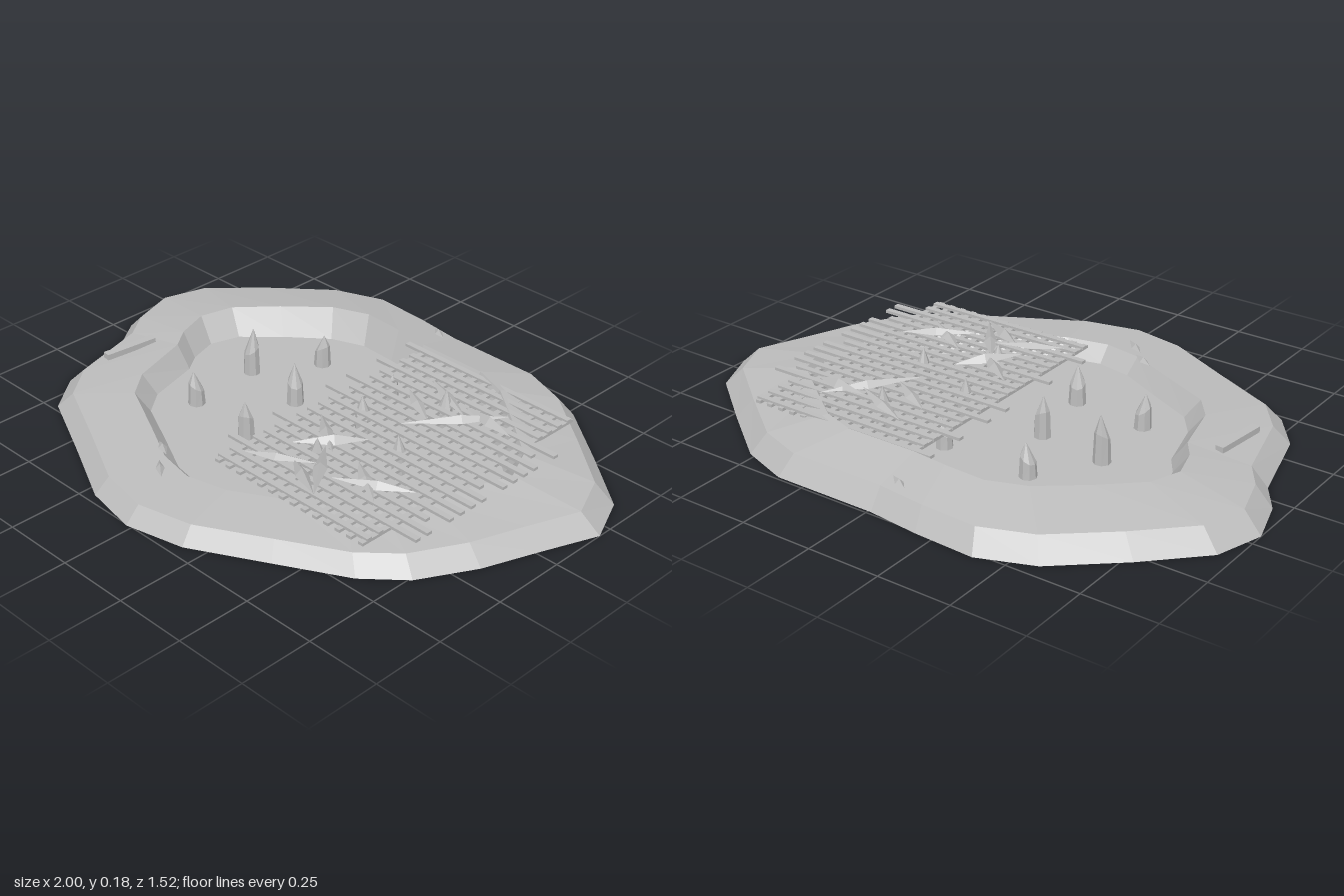
import * as THREE from 'three';

const stone = new THREE.MeshStandardMaterial({ color: 0xbcbcbc, flatShading: true, side: THREE.DoubleSide });
stone.name = 'plainGrey';

// Ground outline as x, z pairs
const outline = [
  [-1, -0.2], [-0.95, -0.36], [-0.78, -0.53], [-0.58, -0.7], [-0.4, -0.77],
  [-0.19, -0.76], [-0.01, -0.74], [0.35, -0.74], [0.52, -0.68], [0.73, -0.52],
  [0.93, -0.36], [1, -0.2], [0.93, -0.02], [0.86, 0.17], [0.76, 0.35],
  [0.64, 0.46], [0.42, 0.58], [0.18, 0.71], [-0.02, 0.755], [-0.21, 0.72],
  [-0.45, 0.6], [-0.7, 0.48], [-0.8, 0.35], [-0.88, 0.06], [-0.95, -0.04],
];

function add(parent, geometry, name) {
  const mesh = new THREE.Mesh(geometry, stone);
  mesh.name = name;
  parent.add(mesh);
  return mesh;
}

function meshFrom(positions) {
  const g = new THREE.BufferGeometry();
  g.setAttribute('position', new THREE.Float32BufferAttribute(positions, 3));
  g.computeVertexNormals();
  return g;
}

// Mound with a sunken pit, lofted through scaled copies of the outline
function moundGeometry() {
  const rings = [
    { s: 0, y: () => 0, dz: 0 },
    { s: 1, y: () => 0, dz: 0 },
    { s: 0.935, y: (z) => 0.06 - 0.01 * z, dz: 0 },
    { s: 0.7, y: (z) => 0.088 - 0.028 * z, dz: -0.012 },
    { s: 0.64, y: () => 0.012, dz: -0.012 },
    { s: 0, y: () => 0.012, dz: -0.012 },
  ];
  const point = (r, i) => {
    const [x, z] = outline[i % outline.length];
    return [x * r.s, r.y(z), z * r.s + r.dz];
  };
  const p = [];
  for (let k = 0; k < rings.length - 1; k++) {
    const a = rings[k], b = rings[k + 1];
    for (let i = 0; i < outline.length; i++) {
      if (b.s > 0) p.push(...point(a, i), ...point(b, i), ...point(b, i + 1));
      if (a.s > 0) p.push(...point(a, i), ...point(b, i + 1), ...point(a, i + 1));
    }
  }
  return meshFrom(p);
}

// Stake: faceted post with an off-centre sharpened tip
function stakeGeometry(height) {
  const g = new THREE.CylinderGeometry(0.021, 0.029, height, 8, 2);
  g.translate(0, height / 2, 0);
  const pos = g.attributes.position;
  for (let i = 0; i < pos.count; i++) {
    const y = pos.getY(i);
    if (y > height * 0.9) pos.setXYZ(i, 0.008 + pos.getX(i) * 0.04, y, pos.getZ(i) * 0.04);
    else if (y > height * 0.3) pos.setY(i, height * 0.55 + pos.getX(i) * 0.6);
  }
  g.computeVertexNormals();
  return g;
}

// Leaf: long folded blade between two points
function leafGeometry(x1, z1, x2, z2, y, width, rise) {
  const dx = x2 - x1, dz = z2 - z1, len = Math.hypot(dx, dz);
  const nx = (-dz / len) * width, nz = (dx / len) * width;
  const mx = x1 + dx * 0.45, mz = z1 + dz * 0.45;
  const a = [x1, y, z1], b = [x2, y + rise * 0.3, z2], top = [mx, y + rise, mz];
  const l = [mx + nx, y, mz + nz], r = [mx - nx, y, mz - nz];
  return meshFrom([...a, ...l, ...top, ...l, ...b, ...top, ...b, ...r, ...top, ...r, ...a, ...top]);
}

export function createModel() {
  const model = new THREE.Group();
  model.name = 'coveredPit';
  add(model, moundGeometry(), 'mound');

  // Stakes: x, z, tip height
  const stakes = new THREE.Group();
  stakes.name = 'stakes';
  model.add(stakes);
  [
    [-0.27, -0.315, 0.125], [-0.4, -0.11, 0.175], [-0.155, -0.075, 0.155], [-0.38, 0.155, 0.13],
    [-0.115, 0.18, 0.145], [0.05, -0.31, 0.11], [0.29, -0.305, 0.152], [0.13, -0.1, 0.145],
    [0.37, -0.015, 0.15], [0.19, 0.165, 0.142],
  ].forEach(([x, z, top], i) => {
    const stake = add(stakes, stakeGeometry(top - 0.01), 'stake');
    stake.position.set(x, 0.01, z);
    stake.rotation.y = i * 1.3;
  });

  // Lattice cover: bars along z with uneven cross bars over them
  const lattice = new THREE.Group();
  lattice.name = 'latticeCover';
  model.add(lattice);
  for (let i = 0; i < 14; i++) {
    const bar = add(lattice, new THREE.BoxGeometry(0.019, 0.01, 0.95), 'longBar');
    bar.position.set(0.015 + i * 0.0465, 0.091, -0.055);
  }
  const longLeft = [0, 3, 6, 8, 13, 17];
  for (let i = 0; i < 20; i++) {
    const left = longLeft.includes(i) ? -0.06 : 0;
    const right = i > 3 && i < 18 ? (i % 5 === 0 ? 0.68 : 0.73) : 0.63;
    const bar = add(lattice, new THREE.BoxGeometry(right - left, 0.01, 0.02), 'crossBar');
    bar.position.set((left + right) / 2, 0.098, -0.51 + i * 0.0475);
  }

  // Leaves scattered over the lattice
  const leaves = new THREE.Group();
  leaves.name = 'leaves';
  model.add(leaves);
  [
    [0.16, -0.39, 0.4, -0.28], [0.49, -0.39, 0.28, -0.11], [0.57, -0.3, 0.35, -0.33],
    [0.15, -0.29, 0.33, -0.18], [0.06, 0.02, 0.25, 0.16], [0.27, 0.02, 0.12, 0.21],
    [0.04, 0.34, 0.26, 0.23], [0.2, 0.14, 0.37, 0.36], [0.18, 0.26, 0.37, 0.36],
    [0.33, 0.13, 0.52, 0.26], [0.57, 0.13, 0.34, 0.26],
  ].forEach((l, i) => add(leaves, leafGeometry(...l, 0.104, 0.022, 0.014 + (i % 3) * 0.006), 'leaf'));

  // Loose stick and chips on the mound
  const stick = add(model, new THREE.BoxGeometry(0.028, 0.02, 0.19), 'looseStick');
  stick.position.set(-0.722, 0.08, 0.15);
  stick.rotation.y = -0.11;
  [
    [-0.22, 0.45, -0.14, 0.49, 0.07], [-0.14, 0.52, -0.06, 0.58, 0.068], [-0.09, -0.68, -0.02, -0.645, 0.078],
  ].forEach(([x1, z1, x2, z2, y]) => add(model, leafGeometry(x1, z1, x2, z2, y, 0.014, 0.015), 'chip'));

  return model;
}
